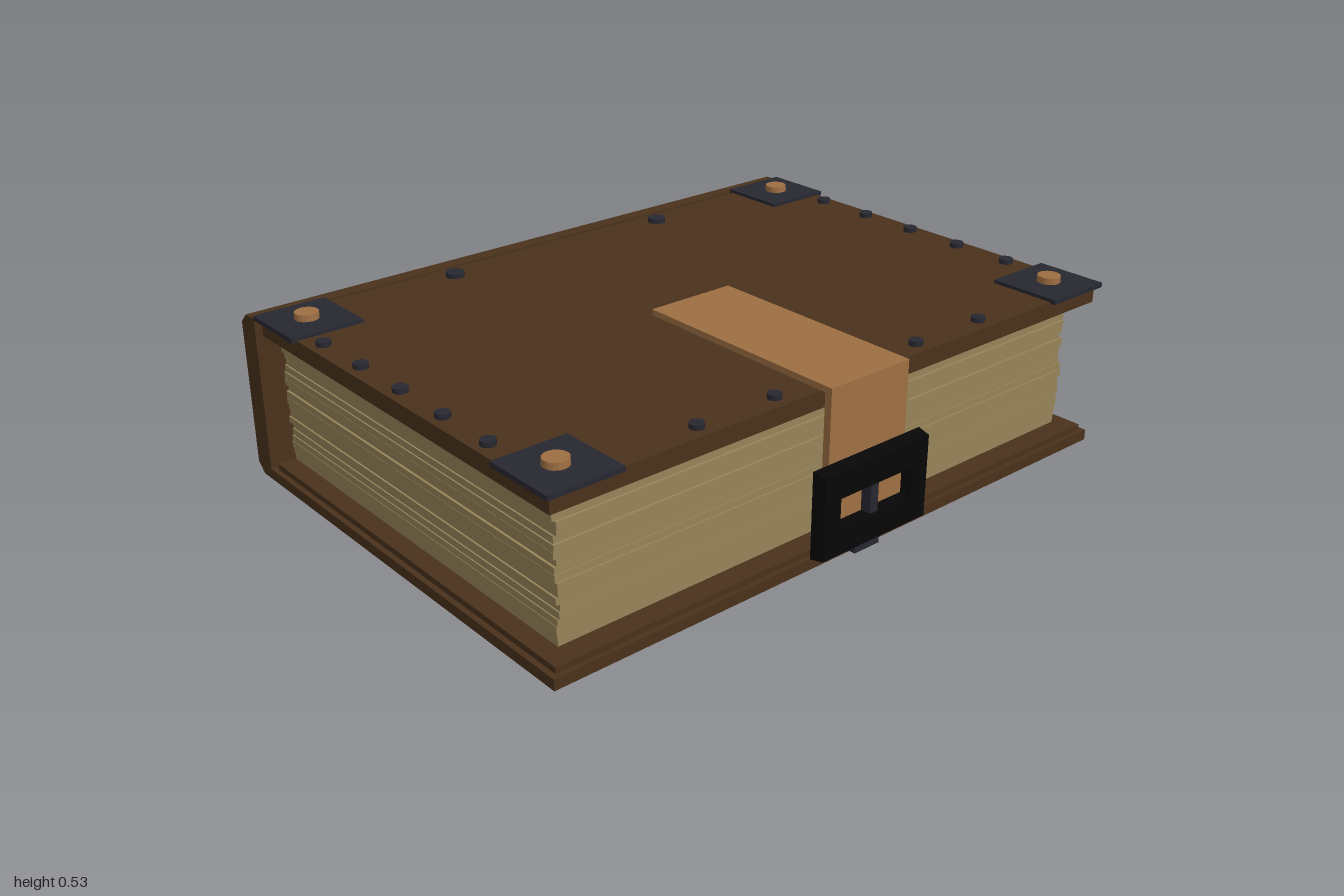
import * as THREE from 'three';

const mat = (name, color) => {
  const m = new THREE.MeshStandardMaterial({ color });
  m.name = name;
  return m;
};

export function createModel() {
  const leather = mat('brown leather', 0x4a311c);
  const paper = mat('aged paper', 0x968358);
  const tan = mat('tan leather', 0x9e6f43);
  const iron = mat('dark iron', 0x272731);
  const black = mat('black metal', 0x060606);

  const book = new THREE.Group();
  book.name = 'book';
  const add = (name, geo, material, x = 0, y = 0, z = 0) => {
    const mesh = new THREE.Mesh(geo, material);
    mesh.name = name;
    mesh.position.set(x, y, z);
    book.add(mesh);
    return mesh;
  };
  // Box given by its limits on each axis
  const box = (name, material, [x0, x1], [y0, y1], [z0, z1]) =>
    add(name, new THREE.BoxGeometry(x1 - x0, y1 - y0, z1 - z0), material,
      (x0 + x1) / 2, (y0 + y1) / 2, (z0 + z1) / 2);

  // Bottom cover: a wide outer board with a slightly smaller inner board
  box('bottomCover', leather, [-0.67, 0.705], [0, 0.032], [-1, 1]);
  box('bottomInnerBoard', leather, [-0.655, 0.69], [0.032, 0.05], [-0.984, 0.984]);
  // Top cover: smaller boards, set apart from the spine by a narrow groove
  box('topInnerBoard', leather, [-0.655, 0.69], [0.45, 0.476], [-0.984, 0.984]);
  box('topCover', leather, [-0.655, 0.69], [0.476, 0.5], [-0.984, 0.984]);

  // Spine with chamfered outer edges
  const profile = new THREE.Shape([
    [-0.67, 0], [-0.67, 0.5], [-0.717, 0.5], [-0.748, 0.47], [-0.748, 0.03], [-0.717, 0],
  ].map(([x, y]) => new THREE.Vector2(x, y)));
  const spine = new THREE.ExtrudeGeometry(profile, { depth: 2, bevelEnabled: false });
  add('spine', spine, leather, 0, 0, -1);
  for (const z of [-0.54, -0.18, 0.18, 0.54]) {
    box('spineBand', leather, [-0.77, -0.74], [0.03, 0.47], [z - 0.038, z + 0.038]);
  }

  // Page block: stacked sheaves with uneven edges
  let seed = 7;
  const rand = () => (seed = (seed * 16807) % 2147483647) / 2147483647;
  const sheaves = 20;
  for (let i = 0; i < sheaves; i++) {
    const y = 0.05 + (0.4 * i) / sheaves;
    box('pages', paper, [-0.65, 0.625 + rand() * 0.014], [y, y + 0.4 / sheaves],
      [-0.925 - rand() * 0.013, 0.925 + rand() * 0.013]);
  }

  // Corner plates overhanging the top cover, with round bosses
  for (const z of [-1, 1]) {
    for (const [x, bossX] of [[-0.56, -0.562], [0.595, 0.594]]) {
      add('cornerPlate', new THREE.BoxGeometry(0.22, 0.014, 0.22), iron, x, 0.503, z * 0.89);
      add('cornerBoss', new THREE.CylinderGeometry(0.034, 0.035, 0.02, 16), tan, bossX, 0.519, z * 0.893);
    }
  }

  // Iron studs along the cover edges and beside the spine
  const stud = (x, z, r) =>
    add('stud', new THREE.CylinderGeometry(r, r, 0.015, 12), iron, x, 0.507, z);
  for (const s of [-1, 1]) {
    for (let i = 0; i < 5; i++) stud(-0.38 + i * 0.194, s * 0.943, 0.021);
    stud(0.645, s * 0.515, 0.02);
    stud(0.645, s * 0.26, 0.02);
    stud(-0.593, s * 0.388, 0.028);
  }

  // Strap folded over the fore edge
  box('strapTop', tan, [0.027, 0.727], [0.5, 0.518], [-0.142, 0.142]);
  box('strapFront', tan, [0.704, 0.727], [0.022, 0.5], [-0.142, 0.142]);

  // Buckle frame, narrowing slightly outward
  const rect = (P, w, y0, y1) => {
    const p = new P();
    p.moveTo(-w, y0);
    p.lineTo(w, y0);
    p.lineTo(w, y1);
    p.lineTo(-w, y1);
    p.closePath();
    return p;
  };
  const frame = rect(THREE.Shape, 0.198, -0.127, 0.127);
  frame.holes.push(rect(THREE.Path, 0.138, -0.048, 0.046));
  const buckle = new THREE.ExtrudeGeometry(frame, { depth: 0.041, bevelEnabled: false });
  const pos = buckle.attributes.position;
  for (let i = 0; i < pos.count; i++) {
    if (pos.getZ(i) > 0.02) pos.setXY(i, pos.getX(i) * 0.97, pos.getY(i) * 0.95);
  }
  buckle.rotateY(Math.PI / 2);
  buckle.computeVertexNormals();
  add('buckle', buckle, black, 0.727, 0.178, 0);
  box('bucklePin', iron, [0.727, 0.76], [0.125, 0.23], [-0.014, 0.014]);
  box('catch', iron, [0.705, 0.742], [0.016, 0.038], [-0.046, 0.046]);

  return book;
}
